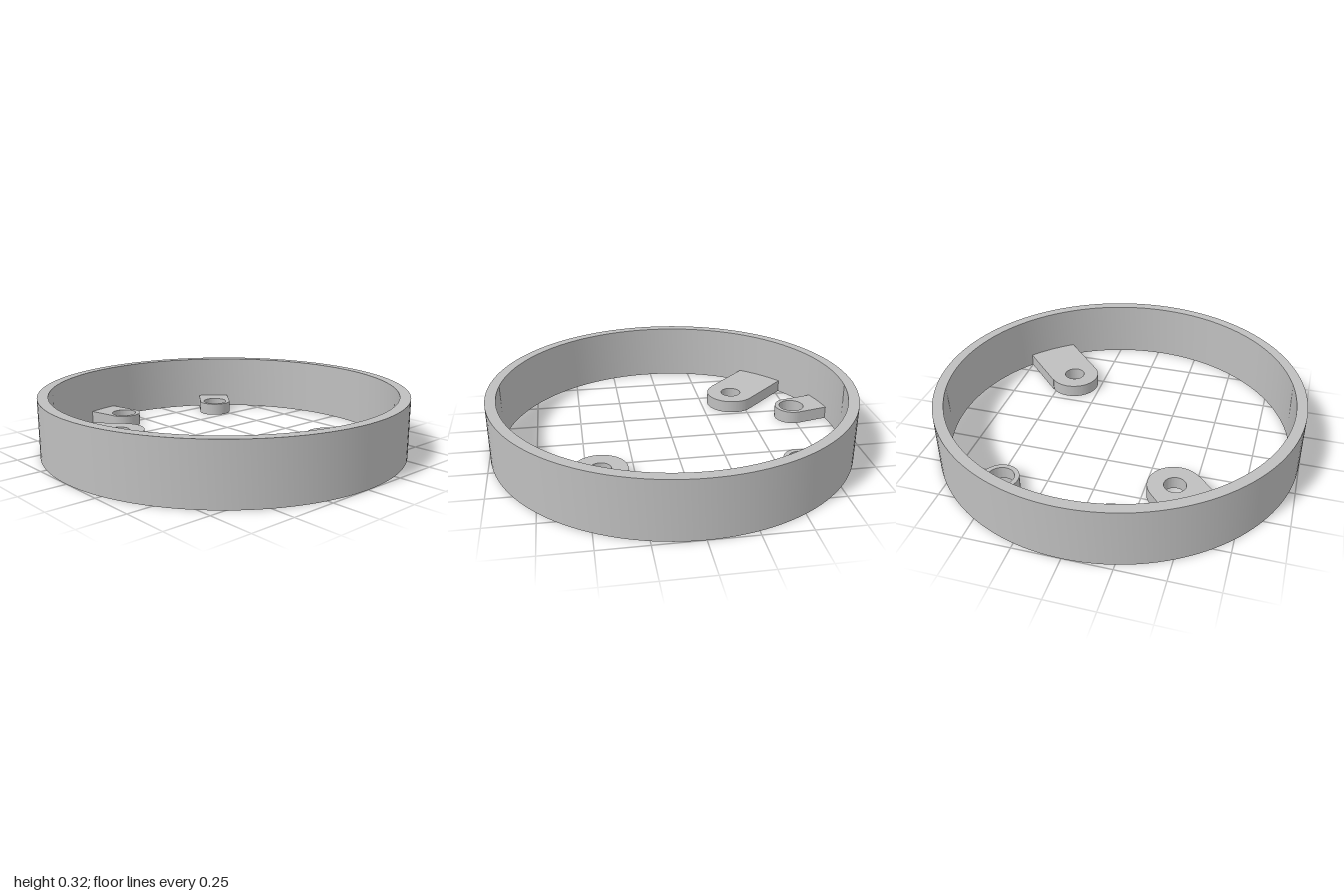
import * as THREE from 'three';
import { toCreasedNormals } from 'three/addons/utils/BufferGeometryUtils.js';

const OUTER = 1, INNER = 0.943, HEIGHT = 0.318, TAB_HEIGHT = 0.07;

// Flat lug reaching inward from the ring wall, with a rounded drilled end.
// x, z: hole centre; end: radius of the rounded end; half: half width of the arm
function lugGeometry(x, z, end, half, hole) {
  const d = Math.hypot(x, z);
  const root = INNER + 0.003;
  const a = Math.asin(half / root);
  const shape = new THREE.Shape();
  shape.moveTo(d, -half);
  shape.absarc(0, 0, root, -a, a, false);
  shape.lineTo(d, half);
  shape.absarc(d, 0, end, Math.PI / 2, Math.PI * 1.5, false);
  shape.closePath();
  const bore = new THREE.Path();
  bore.absarc(d, 0, hole, 0, Math.PI * 2, true);
  shape.holes.push(bore);
  const geo = new THREE.ExtrudeGeometry(shape, { depth: TAB_HEIGHT, bevelEnabled: false, curveSegments: 32 });
  geo.rotateX(-Math.PI / 2);
  geo.rotateY(Math.atan2(-z, x));
  return toCreasedNormals(geo, 0.6);
}

export function createModel() {
  const group = new THREE.Group();
  const grey = new THREE.MeshStandardMaterial({ color: 0xbfbfbf });
  grey.name = 'grey';

  const add = (name, geo) => {
    const mesh = new THREE.Mesh(geo, grey);
    mesh.name = name;
    group.add(mesh);
  };

  // Ring wall
  const profile = [[INNER, 0], [OUTER, 0], [OUTER, HEIGHT], [INNER, HEIGHT], [INNER, 0]]
    .map(([r, y]) => new THREE.Vector2(r, y));
  add('ring', toCreasedNormals(new THREE.LatheGeometry(profile, 128), 0.6));

  // Two wide lugs facing each other
  add('wideLugBack', lugGeometry(0.431, -0.413, 0.143, 0.146, 0.058));
  add('wideLugFront', lugGeometry(-0.431, 0.41, 0.143, 0.146, 0.058));

  // Two narrow lugs
  add('narrowLugBack', lugGeometry(-0.608, -0.463, 0.096, 0.094, 0.071));
  add('narrowLugFront', lugGeometry(-0.743, 0.163, 0.096, 0.094, 0.071));

  return group;
}
